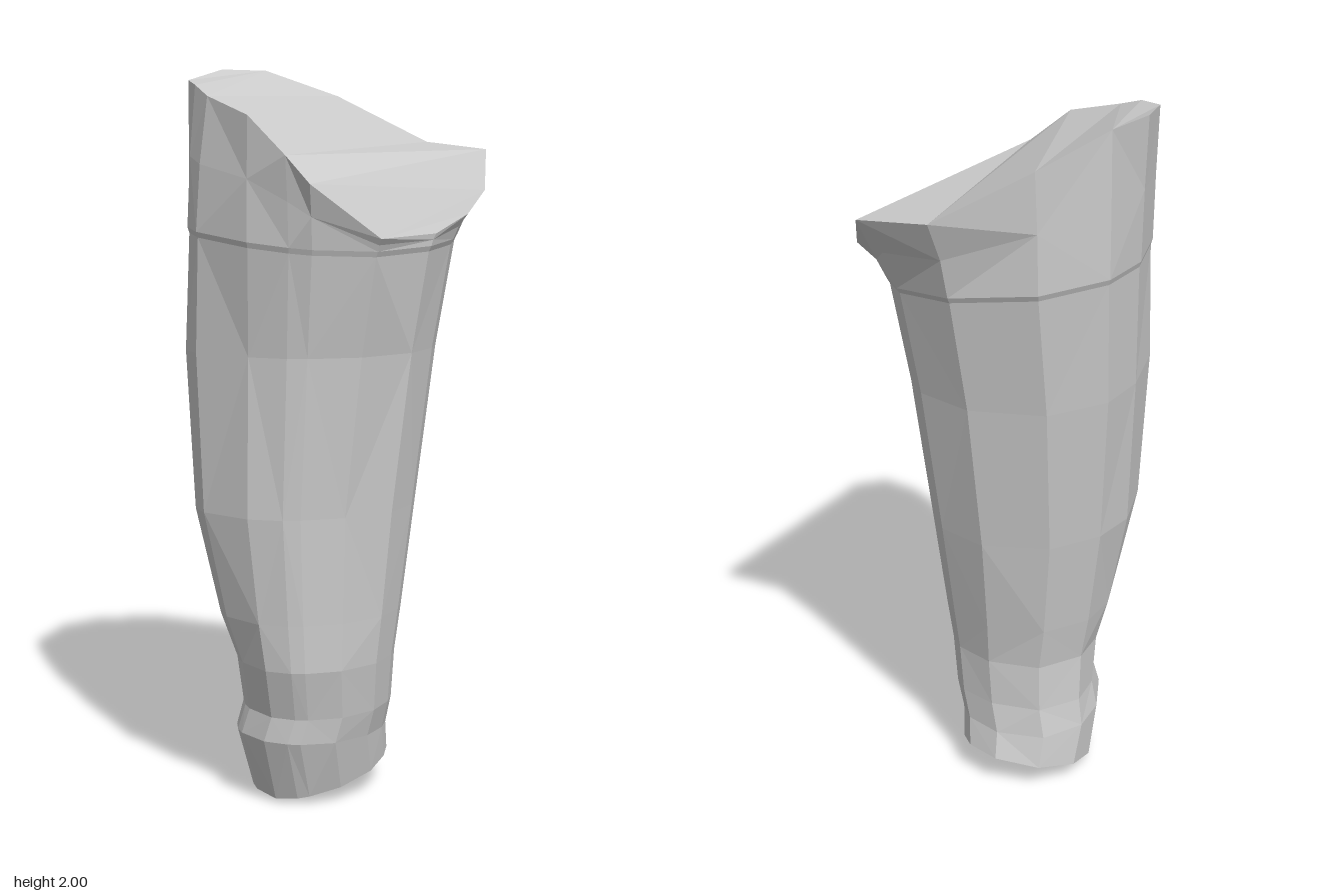
import * as THREE from 'three';

// Sloping rim of the open end: [x, y, z], running back, left, front, right
const RIM = [
  [0.09, 1.8, -0.43], [0.29, 1.78, -0.395], [0.345, 1.67, -0.26], [0.352, 1.61, -0.13],
  [0.34, 1.565, 0.05], [0.29, 1.56, 0.275], [0.165, 1.7, 0.425], [0.09, 1.77, 0.415],
  [-0.03, 1.87, 0.395], [-0.19, 1.92, 0.325], [-0.26, 1.95, 0.27], [-0.33, 1.965, 0.19],
  [-0.355, 2, -0.03], [-0.3, 2, -0.18], [-0.155, 1.93, -0.345],
];
const N = RIM.length;

// Direction of each limb edge in degrees, from +x towards +z, matching the rim points
const ANGLES = [-78, -48, -32, -17, 7, 38, 65, 75, 95, 125, 137, 151, 184, 210, 243];

// Cross-section between the given extents, tilted by slopes tx and tz.
// Corner fullness: [back left, front left, front right, back right]
function ring(y, [x0, x1, z0, z1], corners, tx = 0, tz = 0) {
  return ANGLES.map((degrees) => {
    const a = THREE.MathUtils.degToRad(degrees);
    const c = Math.cos(a), s = Math.sin(a);
    const power = corners[c > 0 ? (s < 0 ? 0 : 1) : (s > 0 ? 2 : 3)];
    const r = (Math.abs(c) ** power + Math.abs(s) ** power) ** (-1 / power);
    const x = (x0 + x1) / 2 + (x1 - x0) / 2 * r * c;
    const z = (z0 + z1) / 2 + (z1 - z0) / 2 * r * s;
    return [x, y + tx * x + tz * z, z];
  });
}

// Faceted skin through rings listed from bottom to top
function loft(rings) {
  const tris = [];
  for (let k = 0; k < rings.length - 1; k++) {
    const lo = rings[k], hi = rings[k + 1];
    for (let i = 0; i < N; i++) {
      const j = (i + 1) % N;
      if ((i + k) % 2) tris.push(lo[i], hi[i], lo[j], lo[j], hi[i], hi[j]);
      else tris.push(lo[i], hi[i], hi[j], lo[i], hi[j], lo[j]);
    }
  }
  return tris;
}

function makeMesh(name, points) {
  const geometry = new THREE.BufferGeometry();
  geometry.setAttribute('position', new THREE.Float32BufferAttribute(points.flat(), 3));
  geometry.computeVertexNormals();
  const material = new THREE.MeshStandardMaterial({
    color: 0xcccccc, flatShading: true, side: THREE.DoubleSide,
  });
  const mesh = new THREE.Mesh(geometry, material);
  mesh.name = name;
  return mesh;
}

export function createModel() {
  const group = new THREE.Group();
  group.name = 'limbSegment';

  // Long tapering limb, narrowing to a small flared end
  const end = ring(0.06, [-0.222, 0.154, -0.19, 0.23], [2.3, 1.8, 1.7, 2.3], 0.1, -0.2);
  const limb = [
    end,
    ring(0.18, [-0.232, 0.165, -0.165, 0.292], [2.4, 2, 1.9, 2.6], 0, 0.04),
    ring(0.26, [-0.215, 0.187, -0.15, 0.285], [2.4, 1.9, 1.8, 3.2]),
    ring(0.4, [-0.22, 0.205, -0.15, 0.325], [2.3, 1.8, 1.8, 2.8]),
    ring(0.53, [-0.255, 0.22, -0.175, 0.338], [2.3, 1.65, 2.3, 2.2]),
    ring(0.82, [-0.31, 0.248, -0.23, 0.365], [2.3, 1.5, 2.9, 1.8]),
    ring(1.25, [-0.33, 0.288, -0.29, 0.367], [2.35, 1.85, 3.4, 2.1]),
    ring(1.555, [-0.335, 0.328, -0.352, 0.395], [2.3, 2.3, 2.6, 2.2], -0.1, -0.06),
  ];
  group.add(makeMesh('limb', loft(limb)));

  // Cuff above the seam, spreading out to the slanted rim
  const collar = ring(1.57, [-0.34, 0.335, -0.36, 0.4], [2.3, 2.3, 2.6, 2.2], -0.1, -0.06);
  const middle = collar.map((p, i) => [0, 1, 2].map((k) =>
    THREE.MathUtils.lerp(p[k], RIM[i][k], k === 1 ? 0.5 : 0.35)));
  group.add(makeMesh('cuff', loft([limb.at(-1), collar, middle, RIM])));

  // Slanted cap, folded in strips either side of a ridge
  const strips = [
    [0, 7, 8], [0, 8, 14], [8, 9, 14], [9, 13, 14], [9, 10, 13], [10, 11, 13], [11, 12, 13],
    [0, 1, 7], [1, 6, 7], [1, 2, 6], [2, 5, 6], [2, 3, 5], [3, 4, 5],
  ];
  group.add(makeMesh('topCap', strips.flatMap(([a, b, c]) => [RIM[a], RIM[c], RIM[b]])));

  // Lower end closed by a shallow fan that bulges downwards
  const hub = [-0.05, 0, 0.07];
  group.add(makeMesh('bottomCap', end.flatMap((p, i) => [hub, p, end[(i + 1) % N]])));

  return group;
}
